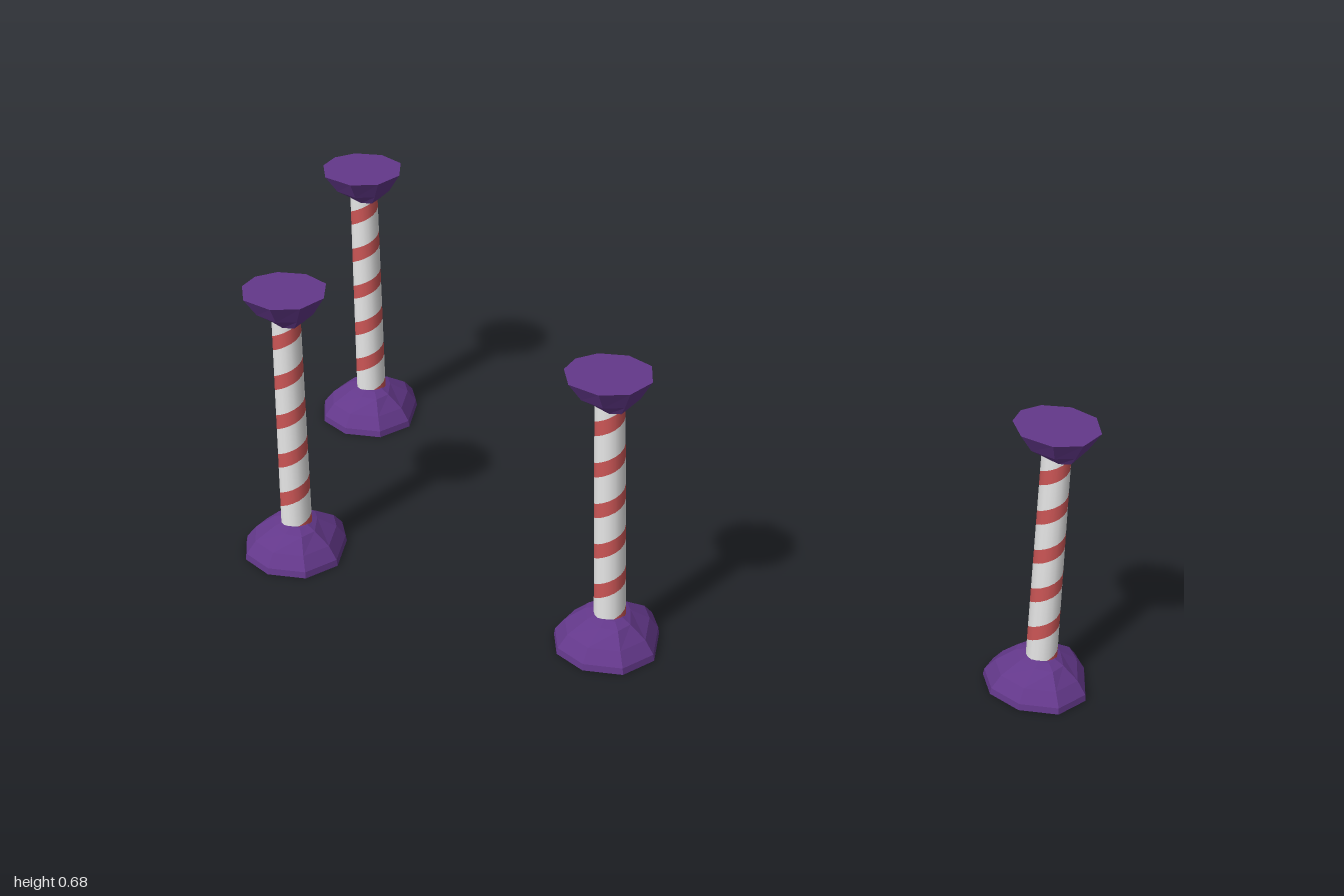
import * as THREE from 'three';
import { ParametricGeometry } from 'three/addons/geometries/ParametricGeometry.js';

const purple = new THREE.MeshStandardMaterial({ color: 0x63388a });
const white = new THREE.MeshStandardMaterial({ color: 0xe8e8e8 });
const red = new THREE.MeshStandardMaterial({ color: 0xcc5656 });

// Faceted solid through rings of [x, y, z] points, first and last ring closed to their centre
function loft(rings) {
  const centre = (ring) => {
    const c = [0, 0, 0];
    ring.forEach((p) => p.forEach((v, k) => { c[k] += v / ring.length; }));
    return c;
  };
  const n = rings[0].length;
  const last = rings[rings.length - 1];
  const low = centre(rings[0]);
  const high = centre(last);
  const pos = [];
  for (let i = 0; i < n; i++) {
    const j = (i + 1) % n;
    pos.push(...low, ...rings[0][i], ...rings[0][j]);
    for (let k = 0; k < rings.length - 1; k++) {
      const [a, b, c, d] = [rings[k][i], rings[k][j], rings[k + 1][j], rings[k + 1][i]];
      pos.push(...a, ...d, ...b, ...b, ...d, ...c);
    }
    pos.push(...high, ...last[j], ...last[i]);
  }
  const geo = new THREE.BufferGeometry();
  geo.setAttribute('position', new THREE.Float32BufferAttribute(pos, 3));
  geo.computeVertexNormals();
  return geo;
}

// Footprint of the rough base and of the capital, as x, z
const baseOutline = [[0, -0.132], [0.131, -0.077], [0.122, -0.01], [0.07, 0.1],
  [-0.016, 0.133], [-0.095, 0.085], [-0.127, 0], [-0.105, -0.085], [-0.063, -0.122]];
const capOutline = [[0.01, -0.108], [0.07, -0.075], [0.1, -0.01], [0.075, 0.065],
  [0.01, 0.103], [-0.055, 0.085], [-0.1, 0.015], [-0.085, -0.06], [-0.045, -0.1]];
const ring = (outline, y, sx, sz = sx) => outline.map(([x, z]) => [x * sx, y, z * sz]);

const baseGeo = loft([
  ring(baseOutline, 0, 1),
  ring(baseOutline, 0.015, 0.98),
  ring(baseOutline, 0.045, 0.8),
  ring(baseOutline, 0.077, 0.42, 0.55),
  ring(baseOutline, 0.086, 0.25, 0.35),
]);
const capGeo = loft([
  ring(capOutline, 0.615, 0.38, 0.62),
  ring(capOutline, 0.636, 0.7, 0.75),
  ring(capOutline, 0.68, 1),
]);

// Helical ribbon round the shaft, trimmed inside the base and the capital
const PITCH = 0.102;
const TURNS = 9;
function ribbon(start, width) {
  const geo = new ParametricGeometry((u, v, p) => {
    const angle = u * TURNS * Math.PI * 2;
    const y = THREE.MathUtils.clamp(start + u * TURNS * PITCH + v * width, 0.03, 0.65);
    const r = 0.037 - 0.005 * y;
    p.set(r * Math.sin(angle), y, r * Math.cos(angle));
  }, TURNS * 16, 1);
  const pos = geo.attributes.position;
  for (let i = 0; i < pos.count; i++) {
    const l = Math.hypot(pos.getX(i), pos.getZ(i));
    geo.attributes.normal.setXYZ(i, pos.getX(i) / l, 0, pos.getZ(i) / l);
  }
  return geo;
}
const STRIPE = 0.036;
const START = 0.07 - 2 * PITCH - STRIPE / 2;
const redGeo = ribbon(START, STRIPE);
const whiteGeo = ribbon(START + STRIPE, PITCH - STRIPE);

function makePillar() {
  const pillar = new THREE.Group();
  const parts = [['base', baseGeo, purple], ['shaft', whiteGeo, white],
    ['spiralStripe', redGeo, red], ['capital', capGeo, purple]];
  for (const [name, geo, mat] of parts) {
    const mesh = new THREE.Mesh(geo, mat);
    mesh.name = name;
    pillar.add(mesh);
  }
  return pillar;
}

export function createModel() {
  const model = new THREE.Group();
  model.name = 'stripedPillars';
  // x, z, scale of each pillar
  const places = [[-0.345, -0.868, 1], [-0.7, -0.243, 1], [-0.14, 0.4, 1], [0.7, 0.872, 0.945]];
  places.forEach(([x, z, s], i) => {
    const pillar = makePillar();
    pillar.name = `pillar${i + 1}`;
    pillar.position.set(x, 0, z);
    pillar.scale.setScalar(s);
    model.add(pillar);
  });
  return model;
}
